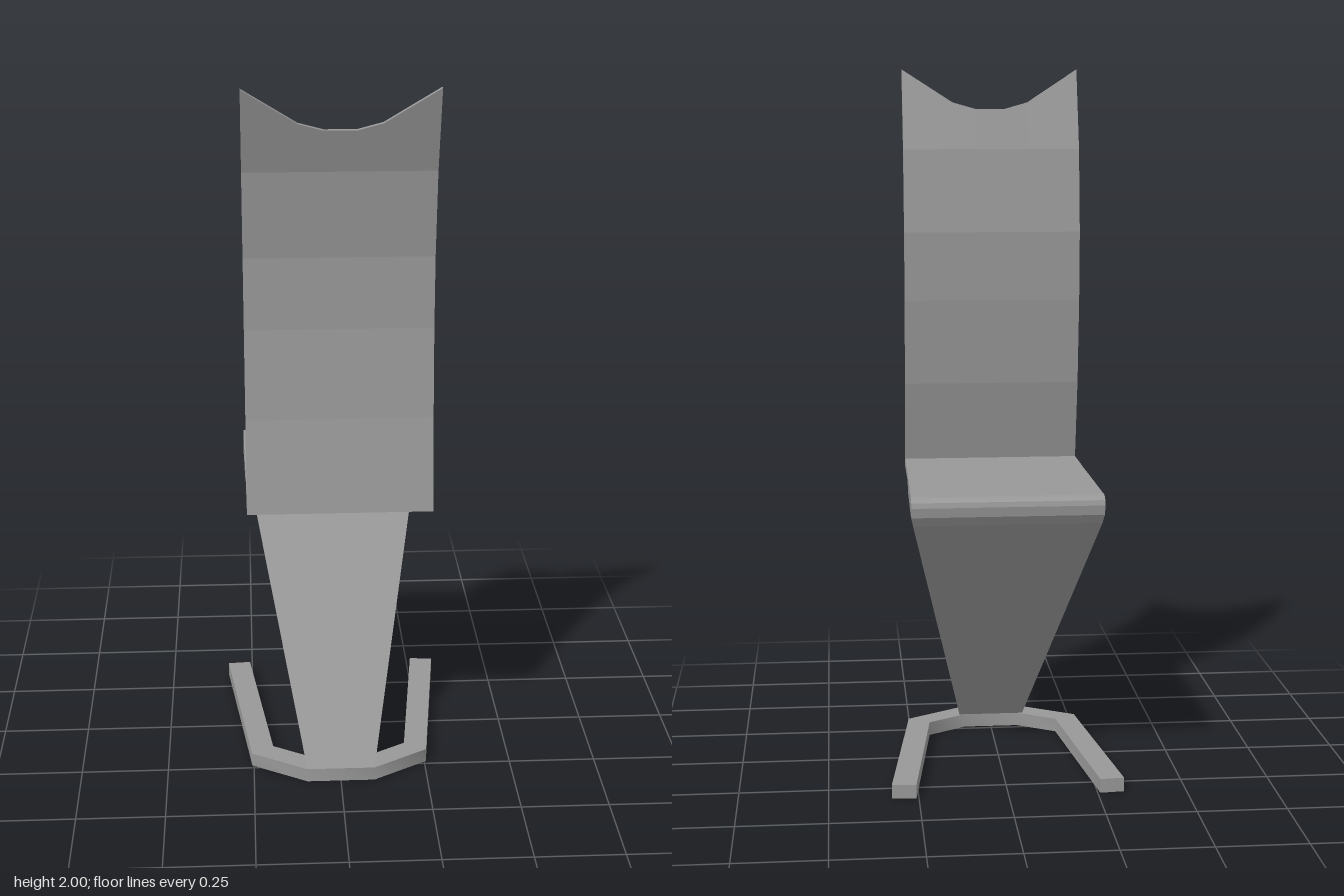
import * as THREE from 'three';
import { toCreasedNormals } from 'three/addons/utils/BufferGeometryUtils.js';

const material = new THREE.MeshStandardMaterial({ color: 0x989898 });

// Bent slab: each row is [outer z, outer y, inner z, inner y, half width].
// columns are fractions across the width; adjust may reshape single points.
function slab(name, rows, columns = [-1, 1], adjust = (p) => p, capEnd = false) {
  const pos = [];
  const at = (r, c, s) =>
    adjust([columns[c] * rows[r][4], rows[r][s * 2 + 1], rows[r][s * 2]], r, columns[c]);
  const quad = (a, b, c, d) => pos.push(...a, ...b, ...c, ...a, ...c, ...d);
  const last = columns.length - 1;
  for (let r = 0; r < rows.length - 1; r++) {
    for (let c = 0; c < last; c++) {
      quad(at(r, c, 0), at(r + 1, c, 0), at(r + 1, c + 1, 0), at(r, c + 1, 0));
      quad(at(r, c, 1), at(r, c + 1, 1), at(r + 1, c + 1, 1), at(r + 1, c, 1));
    }
    quad(at(r, 0, 0), at(r, 0, 1), at(r + 1, 0, 1), at(r + 1, 0, 0));
    quad(at(r, last, 0), at(r + 1, last, 0), at(r + 1, last, 1), at(r, last, 1));
  }
  if (capEnd) {
    const e = rows.length - 1;
    for (let c = 0; c < last; c++) quad(at(e, c, 0), at(e, c, 1), at(e, c + 1, 1), at(e, c + 1, 0));
  }
  const geometry = new THREE.BufferGeometry();
  geometry.setAttribute('position', new THREE.Float32BufferAttribute(pos, 3));
  geometry.computeVertexNormals();
  const mesh = new THREE.Mesh(geometry, material);
  mesh.name = name;
  return mesh;
}

// U-shaped floor frame, open at one end, softly shaded around its bends
function base() {
  const outer = [[0.325, -0.33], [0.255, 0.237], [0.097, 0.333]];
  const inner = [[0.08, 0.266], [0.193, 0.197], [0.257, -0.336]];
  const mirror = (list) => list.map(([x, z]) => [-x, z]).reverse();
  const outline = [...outer, ...mirror(outer), ...mirror(inner), ...inner];
  const shape = new THREE.Shape(outline.map(([x, z]) => new THREE.Vector2(x, -z)));
  const geometry = new THREE.ExtrudeGeometry(shape, { depth: 0.04, bevelEnabled: false });
  geometry.rotateX(-Math.PI / 2);
  const mesh = new THREE.Mesh(toCreasedNormals(geometry, Math.PI / 3), material);
  mesh.name = 'base';
  return mesh;
}

export function createModel() {
  const group = new THREE.Group();
  group.name = 'cantileverChair';

  const knee = [-0.311, 0.767, -0.25, 0.777, 0.26];
  const seatRear = [0.272, 0.845, 0.288, 0.82, 0.258];

  // Slanted tapering support
  const leg = slab('leg', [[0.265, 0.04, 0.333, 0.04, 0.097], knee]);

  // Seat with rounded front edge and a thinner rear half
  const seat = slab('seat', [
    knee,
    [-0.327, 0.793, -0.256, 0.787, 0.264],
    [-0.331, 0.82, -0.25, 0.797, 0.265],
    [-0.327, 0.834, -0.246, 0.8, 0.265],
    [-0.315, 0.843, -0.24, 0.8, 0.265],
    [-0.3, 0.845, -0.23, 0.8, 0.265],
    [0, 0.845, 0, 0.8, 0.261],
    [0.04, 0.845, 0.045, 0.822, 0.26],
    seatRear,
  ]);

  // Curved backrest with a scooped top edge
  const backRows = [
    seatRear,
    [0.225, 1.08, 0.242, 1.08, 0.258],
    [0.2, 1.33, 0.217, 1.33, 0.258],
    [0.197, 1.53, 0.215, 1.53, 0.258],
    [0.228, 1.77, 0.246, 1.77, 0.258],
    [0.302, 2, 0.32, 2, 0.258],
  ];
  const dips = [[1, 0], [0.43, 0.095], [0.17, 0.114]];
  const columns = [-1, -0.43, -0.17, 0.17, 0.43, 1];
  const scoop = ([x, y, z], row, column) => {
    if (row < backRows.length - 1) return [x, y, z];
    const dip = dips.find(([c]) => c === Math.abs(column))[1];
    return [x, y - dip, z - dip * 0.322];
  };
  const back = slab('backrest', backRows, columns, scoop, true);

  group.add(base(), leg, seat, back);
  return group;
}
